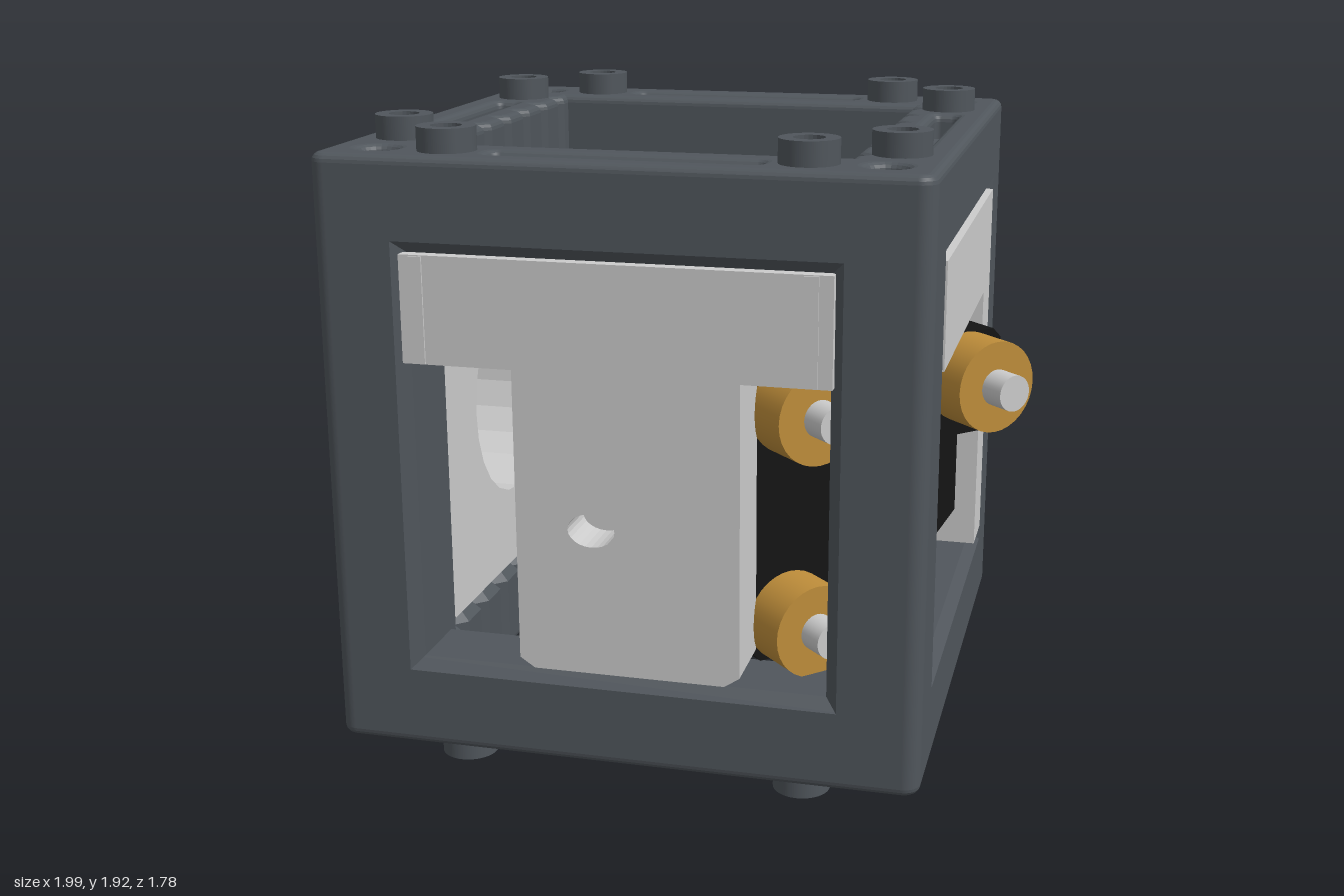
import * as THREE from 'three';

const CX = -0.115, MID = 0.96, H = 0.885; // cube centre x, centre y, half size
const mat = (color) => new THREE.MeshStandardMaterial({ color });
const GREY = mat(0xcccccc), DARK = mat(0x50565c), BLACK = mat(0x141414);
const BRASS = mat(0xbe8d3a);

function poly(points) {
  return new THREE.Shape(points.map(([x, y]) => new THREE.Vector2(x, y)));
}
function hole(shape, x, y, rx, ry = rx) {
  shape.holes.push(new THREE.Path().absellipse(x, y, rx, ry, 0, Math.PI * 2, true));
}
function roundRect(target, cx, cy, hx, hy, r) {
  const corners = [[1, 1, 0], [-1, 1, 1], [-1, -1, 2], [1, -1, 3]];
  for (const [sx, sy, q] of corners)
    target.absarc(cx + sx * (hx - r), cy + sy * (hy - r), r, q * Math.PI / 2, (q + 1) * Math.PI / 2, false);
  target.closePath();
  return target;
}
// Extrudes from z0 to z1, with an inward bevel when asked for
function extrude(shape, z0, z1, bevel = 0, segments = 1) {
  const g = new THREE.ExtrudeGeometry(shape, {
    depth: z1 - z0 - 2 * bevel, curveSegments: 12, bevelEnabled: bevel > 0,
    bevelThickness: bevel, bevelSize: bevel, bevelOffset: -bevel, bevelSegments: segments,
  });
  return g.translate(0, 0, z0 + bevel);
}
// Same, but upwards from y0 to y1; shape y becomes -z
const extrudeUp = (...args) => extrude(...args).rotateX(-Math.PI / 2);

function add(parent, name, geometry, material) {
  const m = new THREE.Mesh(geometry, material);
  m.name = name;
  parent.add(m);
  return m;
}

// Square ring with V-notched side openings, corner holes and optional slots
function ringShape(slots) {
  const s = roundRect(new THREE.Shape(), 0, 0, H, H, 0.05);
  const pts = [[-0.61, -0.61], [0.61, -0.61]];
  const notches = [-3, -2, -1, 0, 1, 2, 3].map((i) => i * 0.178);
  for (const n of notches) pts.push([0.61, n - 0.035], [0.645, n], [0.61, n + 0.035]);
  pts.push([0.61, 0.61], [-0.61, 0.61]);
  for (const n of notches.slice().reverse()) pts.push([-0.61, n + 0.035], [-0.645, n], [-0.61, n - 0.035]);
  s.holes.push(new THREE.Path(pts.map(([x, y]) => new THREE.Vector2(x, y))));
  for (const a of [-1, 1]) {
    for (const b of [-1, 1]) hole(s, a * 0.732, b * 0.732, 0.055);
    if (slots) {
      s.holes.push(roundRect(new THREE.Path(), 0, a * 0.75, 0.39, 0.036, 0.02));
      s.holes.push(roundRect(new THREE.Path(), a * 0.75, 0, 0.036, 0.39, 0.02));
    }
  }
  return s;
}

function buildFrame() {
  const frame = new THREE.Group();
  frame.name = 'frame';
  frame.position.set(CX, MID, 0);

  const inner = extrudeUp(ringShape(false), 0.615, 0.81, 0.035);
  const outer = extrudeUp(ringShape(true), 0.69, 0.89, 0.026, 4);
  const collar = roundRect(new THREE.Shape(), 0, 0, 0.085, 0.085, 0.0849);
  hole(collar, 0, 0, 0.045);
  const stud = extrudeUp(collar, 0.87, 0.96);
  for (const side of ['top', 'bottom']) {
    const half = new THREE.Group();
    half.name = side + 'Ring';
    add(half, 'innerRing', inner, DARK);
    add(half, 'slottedRing', outer, DARK);
    for (const sx of [-1, 1]) for (const sz of [-1, 1])
      for (const [x, z] of [[0.52, 0.74], [0.74, 0.52]])
        add(half, 'stud', stud, DARK).position.set(sx * x, 0, sz * z);
    if (side === 'bottom') half.rotation.x = Math.PI;
    frame.add(half);
  }

  // Corner posts with chamfered window edges and a lengthwise hole
  const s = new THREE.Shape();
  s.moveTo(0.61, 0.61);
  s.lineTo(0.85, 0.61);
  s.lineTo(H, 0.645);
  s.absarc(H - 0.05, H - 0.05, 0.05, 0, Math.PI / 2, false);
  s.lineTo(0.645, H);
  s.lineTo(0.61, 0.85);
  s.closePath();
  hole(s, 0.732, 0.732, 0.055);
  const post = extrudeUp(s, -0.67, 0.67);
  for (let i = 0; i < 4; i++) add(frame, 'cornerPost', post, DARK).rotation.y = i * Math.PI / 2;
  return frame;
}

function buildInsert() {
  const insert = new THREE.Group();
  insert.name = 'insert';
  insert.position.x = CX;

  // Cross-shaped top slab reaching through all four windows, with counterbored holes
  const W = 0.62, E = H + 0.003;
  const slab = (r1, r2) => {
    const s = poly([[-W, -E], [W, -E], [W, -W], [E, -W], [E, W], [W, W],
      [W, E], [-W, E], [-W, W], [-E, W], [-E, -W], [-W, -W]]);
    hole(s, 0.465, -0.34, r1);
    hole(s, 0.305, 0.64, r2);
    return s;
  };
  add(insert, 'topSlabLower', extrudeUp(slab(0.07, 0.05), 1.26, 1.45), GREY);
  add(insert, 'topSlabUpper', extrudeUp(slab(0.145, 0.12), 1.45, 1.575), GREY);
  for (const x of [-0.57, 0.56])
    add(insert, 'frontRib', new THREE.BoxGeometry(0.04, 0.31, 0.012).translate(x, 1.417, E), GREY);

  // Front plate with a blind hole
  const plate = () => poly([[-0.295, 1.27], [-0.295, 0.39], [-0.25, 0.36], [0.32, 0.36], [0.365, 0.39], [0.365, 1.27]]);
  const face = plate();
  hole(face, -0.07, 0.8, 0.07, 0.05);
  add(insert, 'frontPlateFace', extrude(face, 0.74, E), GREY);
  add(insert, 'frontPlateBack', extrude(plate(), 0.61, 0.74), GREY);

  // Side plate with the large round port
  const side = poly([[-W, 0.39], [-W + 0.03, 0.36], [W - 0.03, 0.36], [W, 0.39], [W, 1.57], [-W, 1.57]]);
  hole(side, 0, MID, 0.355);
  add(insert, 'portPlate', extrude(side, 0.615, E).rotateY(-Math.PI / 2), GREY);

  // Back corner column
  const column = poly([[0.435, E], [0.435, 0.55], [0.555, 0.43], [E, 0.43], [E, W], [W, W], [W, E]].reverse());
  add(insert, 'cornerColumn', extrudeUp(column, 0.37, 1.27), GREY);
  return insert;
}

// Angled adjustable mount; local z is the knob direction
function buildMount() {
  const turned = new THREE.Group();
  turned.name = 'angledMount';
  turned.rotation.y = Math.PI / 4;
  const mount = new THREE.Group();
  mount.name = 'mountBody';
  mount.position.set(0.135, 0.8, 0);
  turned.add(mount);

  const front = poly([[-0.45, -0.42], [-0.42, -0.45], [-0.18, -0.45], [-0.14, -0.4], [-0.14, 0.02],
    [-0.02, 0.14], [0.4, 0.14], [0.45, 0.19], [0.45, 0.43], [0.42, 0.46], [-0.42, 0.46], [-0.45, 0.43]]);
  add(mount, 'adjusterPlate', extrude(front, 0.5, 0.654), BLACK);

  const back = poly([[-0.45, -0.45], [-0.14, -0.45], [0.0, -0.42], [0.12, -0.32], [0.32, -0.32],
    [0.45, -0.19], [0.45, 0.46], [-0.45, 0.46]]);
  hole(back, 0, 0.03, 0.24);
  add(mount, 'backPlate', extrude(back, 0.27, 0.46), BLACK);

  const ring = poly([[-0.2, -0.32], [0.22, -0.32], [0.4, -0.18], [0.4, 0.25], [0.22, 0.43],
    [-0.2, 0.43], [-0.36, 0.25], [-0.36, -0.16]]);
  hole(ring, 0, 0.03, 0.24);
  add(mount, 'ringHolder', extrude(ring, 0.1, 0.28), BLACK);

  const rod = (r, z0, z1) => new THREE.CylinderGeometry(r, r, z1 - z0, 32)
    .rotateX(Math.PI / 2).translate(0, 0, (z0 + z1) / 2);
  for (const [x, y] of [[-0.318, 0.322], [-0.318, -0.325], [0.318, 0.322]]) {
    const knob = new THREE.Group();
    knob.name = 'adjusterKnob';
    knob.position.set(x, y, 0);
    add(knob, 'knobBody', rod(0.14, 0.654, 0.802), BRASS);
    add(knob, 'screwTip', rod(0.055, 0.45, 0.885), GREY);
    mount.add(knob);
  }
  return turned;
}

export function createModel() {
  const model = new THREE.Group();
  model.name = 'opticsCube';
  model.add(buildFrame(), buildInsert(), buildMount());
  return model;
}
